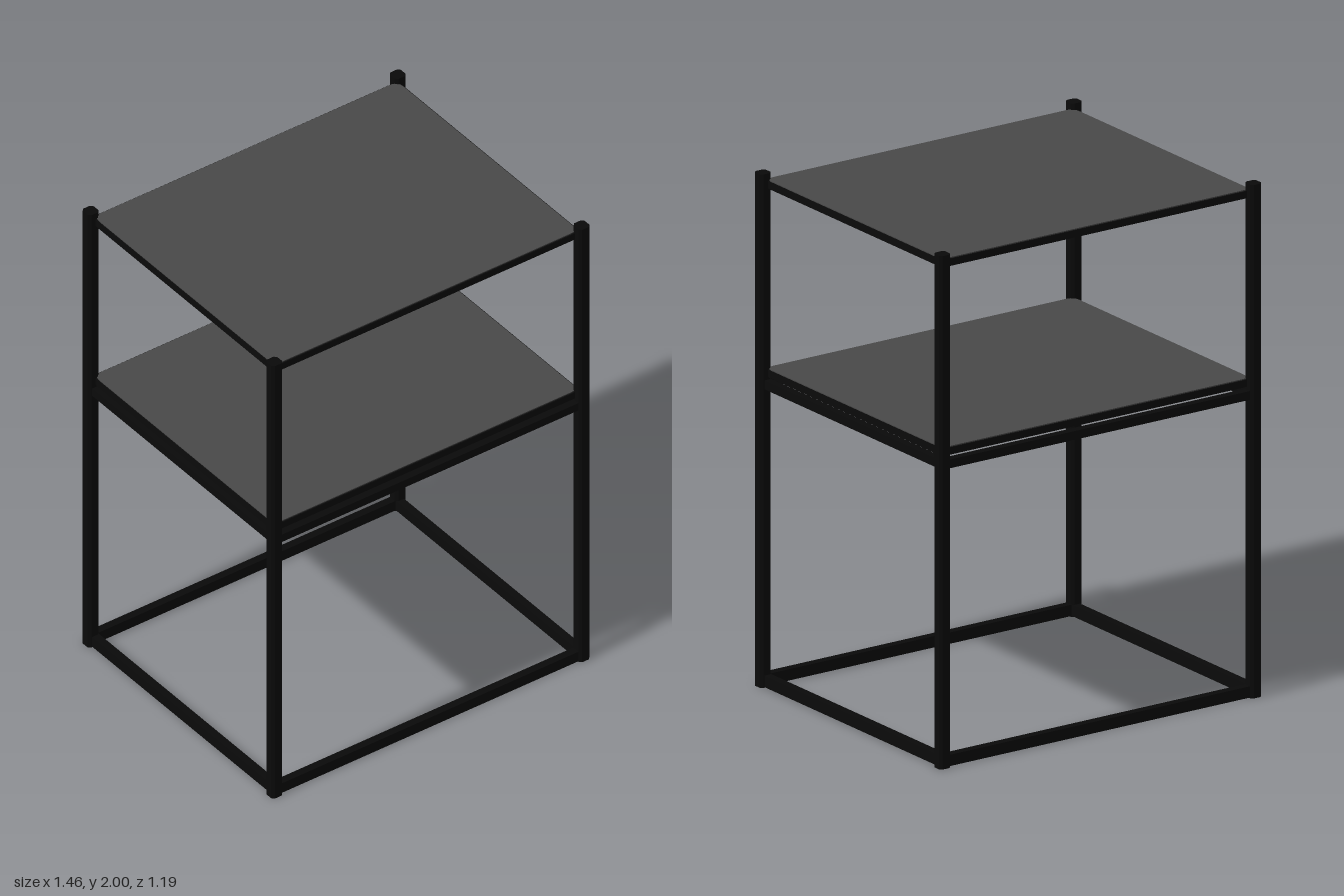
import * as THREE from 'three';

const LEG_X = 0.703, LEG_Z = 0.572;   // leg centres
const RAIL_X = 0.698, RAIL_Z = 0.571; // rail centres
const RAIL_W = 0.032;

const frameMat = new THREE.MeshStandardMaterial({ color: 0x0a0a0a });
const panelMat = new THREE.MeshStandardMaterial({ color: 0x4a4a4a });

function add(parent, name, geometry, material, x, y, z) {
  const mesh = new THREE.Mesh(geometry, material);
  mesh.name = name;
  mesh.position.set(x, y, z);
  parent.add(mesh);
  return mesh;
}

// Vertical prism standing on y = 0, with its corners chamfered or rounded
function prism(width, depth, height, corner, rounded) {
  const a = width / 2, b = depth / 2, s = new THREE.Shape();
  const turn = (cx, cy, x, y) => rounded ? s.quadraticCurveTo(cx, cy, x, y) : s.lineTo(x, y);
  s.moveTo(-a + corner, -b);
  s.lineTo(a - corner, -b);
  turn(a, -b, a, -b + corner);
  s.lineTo(a, b - corner);
  turn(a, b, a - corner, b);
  s.lineTo(-a + corner, b);
  turn(-a, b, -a, b - corner);
  s.lineTo(-a, -b + corner);
  turn(-a, -b, -a + corner, -b);
  const g = new THREE.ExtrudeGeometry(s, { depth: height, bevelEnabled: false, curveSegments: 6 });
  return g.rotateX(-Math.PI / 2);
}

// Rectangular ring of four rails between the legs
function railFrame(name, y0, y1) {
  const ring = new THREE.Group();
  ring.name = name;
  const h = y1 - y0, y = (y0 + y1) / 2;
  for (const s of [-1, 1]) {
    add(ring, s > 0 ? 'frontRail' : 'backRail',
      new THREE.BoxGeometry(2 * LEG_X, h, RAIL_W), frameMat, 0, y, s * RAIL_Z);
    add(ring, s > 0 ? 'leftRail' : 'rightRail',
      new THREE.BoxGeometry(RAIL_W, h, 2 * LEG_Z), frameMat, s * RAIL_X, y, 0);
  }
  return ring;
}

// Dark slab with a grey top surface
function shelf(name, y0, y1) {
  const g = new THREE.Group();
  g.name = name;
  add(g, 'shelfSlab', prism(1.4, 1.136, y1 - y0 - 0.004, 0.035, true), frameMat, 0, y0, 0);
  add(g, 'shelfTop', prism(1.39, 1.126, 0.004, 0.035, true), panelMat, 0, y1 - 0.004, 0);
  return g;
}

export function createModel() {
  const model = new THREE.Group();
  model.name = 'sideTable';

  // Four full-height chamfered legs
  const legGeometry = prism(0.05, 0.05, 2, 0.01, false);
  for (const x of [-1, 1]) for (const z of [-1, 1]) {
    const name = (z > 0 ? 'front' : 'back') + (x > 0 ? 'Left' : 'Right') + 'Leg';
    add(model, name, legGeometry, frameMat, x * LEG_X, 0, z * LEG_Z);
  }

  // Base and middle rails
  model.add(railFrame('baseFrame', 0.003, 0.047));
  model.add(railFrame('middleFrame', 1.163, 1.197));

  // Middle and top shelves
  model.add(shelf('middleShelf', 1.208, 1.24));
  model.add(shelf('topShelf', 1.943, 1.975));
  return model;
}
